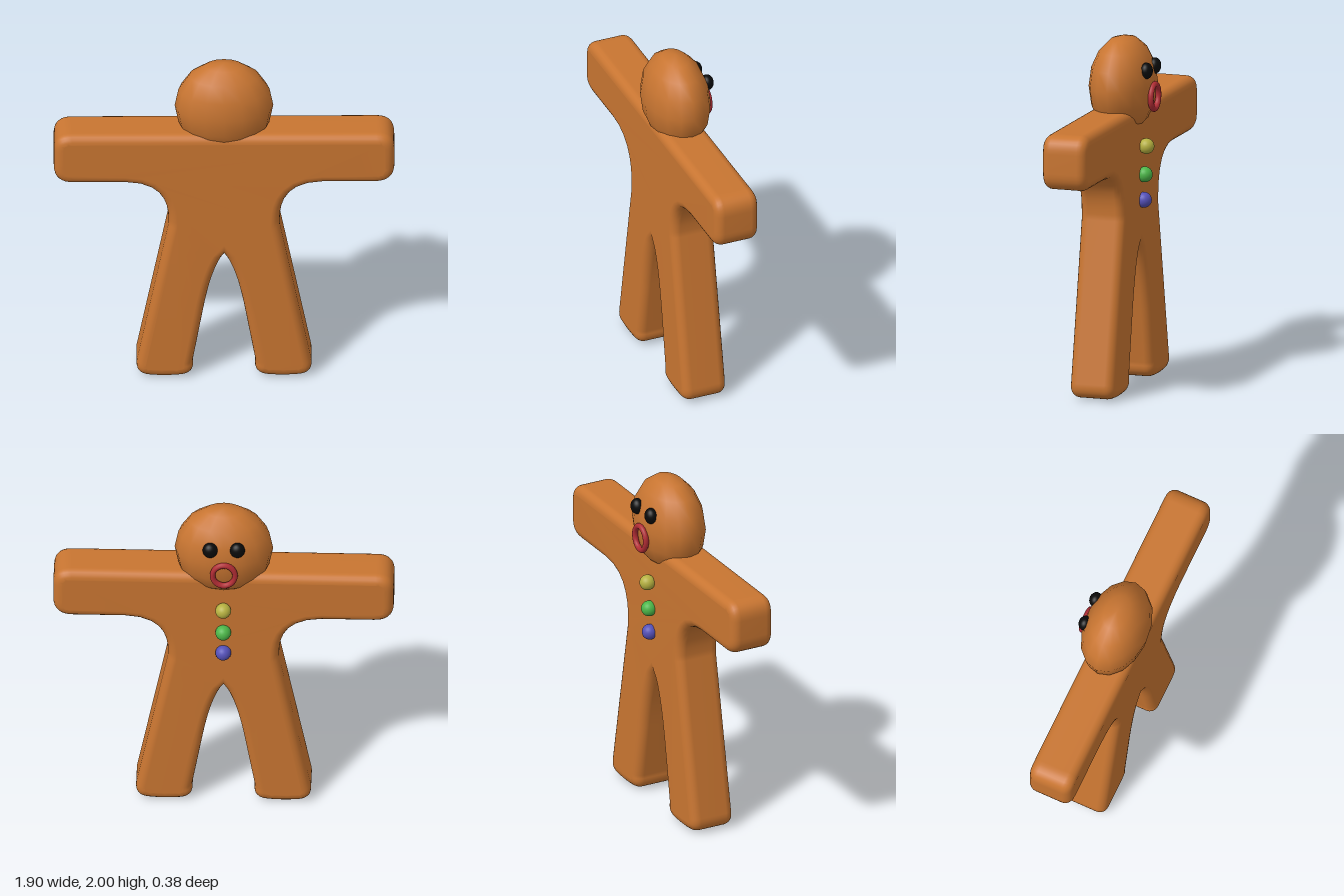
import * as THREE from 'three';
import { mergeVertices } from 'three/addons/utils/BufferGeometryUtils.js';

const material = (color) => new THREE.MeshStandardMaterial({ color });

// Half outline from crotch to neck as [type, ...points]; mirrored for the other side.
const HALF = [
  ['L', 0.175, 0.1],
  ['Q', 0.16, 0.02, 0.24, 0.01],
  ['Q', 0.33, 0.0, 0.42, 0.01],
  ['Q', 0.5, 0.02, 0.486, 0.1],
  ['L', 0.31, 1.0],
  ['C', 0.31, 1.08, 0.3, 1.28, 0.55, 1.285],
  ['L', 0.84, 1.285],
  ['Q', 0.95, 1.285, 0.95, 1.39],
  ['L', 0.95, 1.5],
  ['Q', 0.95, 1.6, 0.85, 1.6],
];

function bodyGeometry() {
  const path = new THREE.Path();
  path.moveTo(0, 0.81);
  path.quadraticCurveTo(0.07, 0.72, 0.12, 0.42);
  for (const [type, ...p] of HALF) {
    if (type === 'L') path.lineTo(...p);
    else if (type === 'Q') path.quadraticCurveTo(...p);
    else path.bezierCurveTo(...p);
  }
  const right = path.getPoints(8);
  const left = right.slice(1).reverse().map((p) => new THREE.Vector2(-p.x, p.y));
  const bevel = 0.05, depth = 0.26;
  let geo = new THREE.ExtrudeGeometry(new THREE.Shape([...right, ...left]), {
    depth: depth - 2 * bevel,
    bevelEnabled: true, bevelThickness: bevel, bevelSize: bevel,
    bevelOffset: -bevel, bevelSegments: 5,
  });
  geo.translate(0, 0, bevel - 0.1);
  // Weld the faces so the dough shades as one soft surface
  geo.deleteAttribute('uv');
  geo.deleteAttribute('normal');
  geo = mergeVertices(geo, 1e-4);
  geo.computeVertexNormals();
  return geo;
}

export function createModel() {
  const group = new THREE.Group();
  const dough = material(0xc87531);
  const add = (name, geo, mat, pos = [0, 0, 0], scale = [1, 1, 1]) => {
    const mesh = new THREE.Mesh(geo, mat);
    mesh.name = name;
    mesh.position.set(...pos);
    mesh.scale.set(...scale);
    group.add(mesh);
    return mesh;
  };

  add('body', bodyGeometry(), dough);
  add('head', new THREE.SphereGeometry(1, 16, 8), dough, [0, 1.72, 0.01], [0.275, 0.28, 0.182]);

  // Face, on the -z side
  const ball = new THREE.SphereGeometry(1, 24, 16);
  const black = material(0x0a0a0a);
  add('rightEye', ball, black, [-0.08, 1.82, -0.147], [0.042, 0.046, 0.036]);
  add('leftEye', ball, black, [0.072, 1.82, -0.152], [0.042, 0.046, 0.036]);
  add('mouth', new THREE.TorusGeometry(0.07, 0.017, 12, 32), material(0xb02c34),
    [-0.005, 1.66, -0.173], [0.9, 1, 1]);

  // Buttons down the chest
  const buttons = [
    ['topButton', 0xb5b040, 1.375, -0.127],
    ['middleButton', 0x4bb548, 1.213, -0.117],
    ['bottomButton', 0x5450b8, 1.068, -0.112],
  ];
  for (const [name, color, y, z] of buttons) {
    add(name, ball, material(color), [0, y, z], [0.044, 0.044, 0.044]);
  }
  return group;
}
